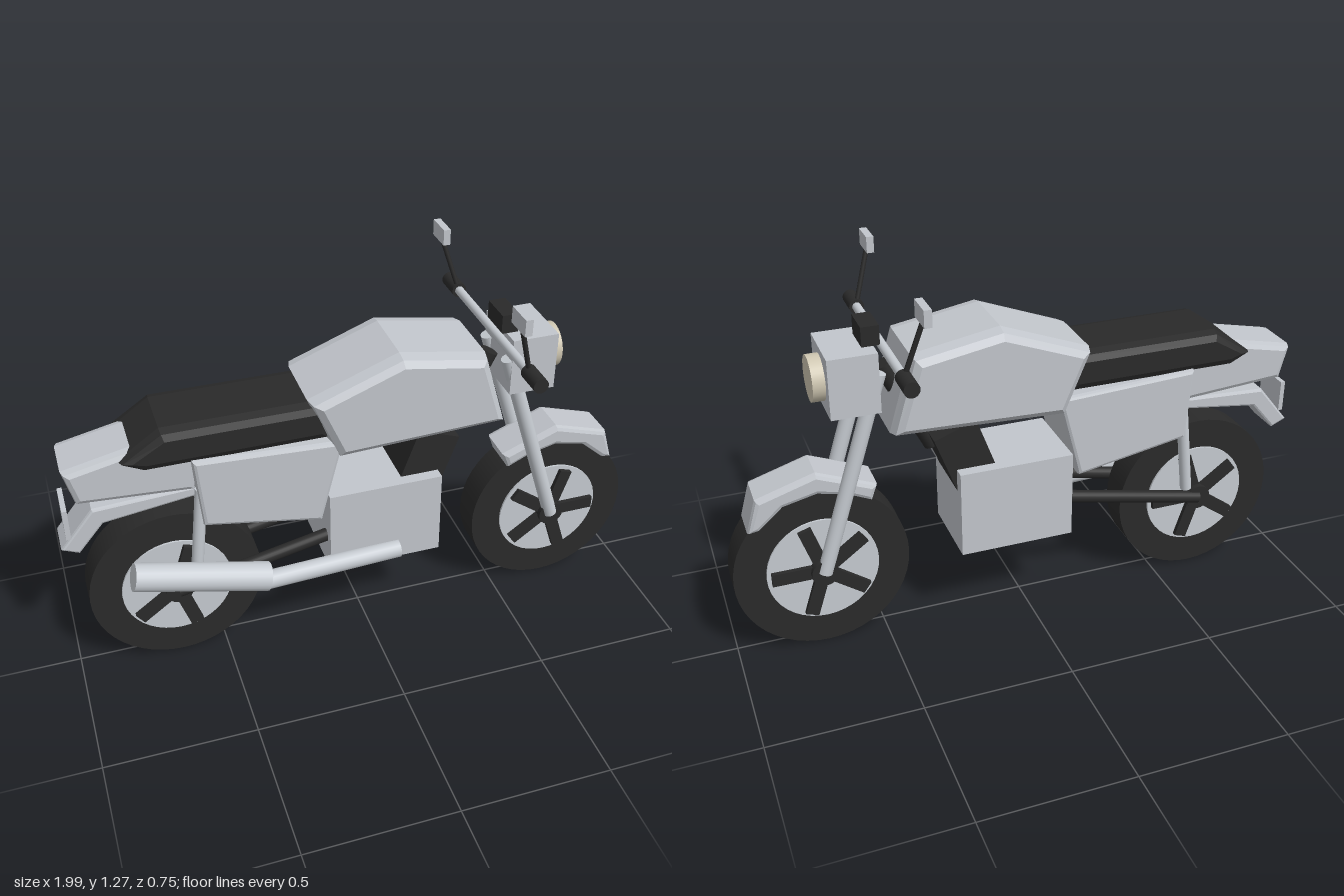
import * as THREE from 'three';

const mat = (name, color) => Object.assign(new THREE.MeshStandardMaterial({ color }), { name });

export function createModel() {
  const paint = mat('greyPaint', 0xc2c6cc);
  const metal = mat('metal', 0xc6cbd1);
  const dark = mat('blackRubber', 0x2a2a2a);
  const glass = mat('lampGlass', 0xcfc7b2);
  const bike = new THREE.Group();
  bike.name = 'motorcycle';

  const add = (name, geo, material, x = 0, y = 0, z = 0, parent = bike) => {
    const m = new THREE.Mesh(geo, material);
    m.name = name;
    m.position.set(x, y, z);
    parent.add(m);
    return m;
  };
  const box = (name, w, h, d, material, x, y, z = 0, parent = bike) =>
    add(name, new THREE.BoxGeometry(w, h, d), material, x, y, z, parent);

  // Side outline extruded across the bike, with a bevel kept inside the outline
  const slab = (name, pts, half, material, bevelZ = 0.02, bevel = 0.02) => {
    const shape = new THREE.Shape(pts.map(p => new THREE.Vector2(...p)));
    const depth = 2 * (half - bevelZ);
    const geo = new THREE.ExtrudeGeometry(shape, {
      depth, bevelEnabled: bevel > 0, bevelThickness: bevelZ,
      bevelSize: bevel, bevelOffset: -bevel, bevelSegments: 2,
    });
    geo.translate(0, 0, -depth / 2);
    return add(name, geo, material);
  };

  // Round bar between two points
  const bar = (name, a, b, r0, r1, material) => {
    const p = new THREE.Vector3(...a), q = new THREE.Vector3(...b);
    const dir = q.clone().sub(p);
    const m = add(name, new THREE.CylinderGeometry(r1, r0, dir.length(), 20), material);
    m.position.copy(p).add(q).multiplyScalar(0.5);
    m.quaternion.setFromUnitVectors(new THREE.Vector3(0, 1, 0), dir.normalize());
    return m;
  };

  // Wheels: tyre, rim disc, five spokes and hub
  const disc = (r, w, seg) => new THREE.CylinderGeometry(r, r, w, seg).rotateX(Math.PI / 2);
  for (const [name, x] of [['rearWheel', -0.65], ['frontWheel', 0.7]]) {
    const wheel = new THREE.Group();
    wheel.name = name;
    wheel.position.set(x, 0.29, 0);
    bike.add(wheel);
    add('tyre', disc(0.29, 0.11, 48), dark, 0, 0, 0, wheel);
    add('rim', disc(0.185, 0.124, 40), metal, 0, 0, 0, wheel);
    add('hub', disc(0.045, 0.19, 20), dark, 0, 0, 0, wheel);
    for (let i = 0; i < 5; i++) {
      const a = i * Math.PI * 0.4;
      box('spoke', 0.17, 0.045, 0.155, dark, Math.cos(a) * 0.085, Math.sin(a) * 0.085, 0, wheel)
        .rotation.z = a;
    }
  }

  // Bodywork
  slab('fuelTank', [[-0.2, 0.96], [-0.11, 0.745], [0.465, 0.77], [0.39, 1.025], [0.1, 1.075]],
    0.16, paint, 0.055, 0.03);
  slab('seat', [[-0.795, 0.85], [-0.72, 0.81], [-0.13, 0.81], [-0.13, 0.943], [-0.66, 0.943]],
    0.13, dark, 0.04, 0.03);
  slab('tail', [[-0.965, 0.835], [-0.935, 0.715], [-0.565, 0.69], [-0.54, 0.86], [-0.72, 0.888]],
    0.1, paint, 0.03, 0.02);
  slab('sidePanel', [[-0.575, 0.825], [-0.555, 0.575], [-0.165, 0.505], [-0.09, 0.8]],
    0.14, paint, 0.015, 0.012);
  slab('rearFender', [[-1, 0.53], [-0.945, 0.505], [-0.86, 0.605], [-0.56, 0.645],
    [-0.56, 0.682], [-0.89, 0.665]], 0.065, paint, 0.01, 0.008);
  slab('frontFender', [[0.505, 0.57], [0.525, 0.515], [0.6, 0.55], [0.7, 0.575], [0.81, 0.55],
    [0.89, 0.48], [0.928, 0.475], [0.895, 0.59], [0.7, 0.65]], 0.075, paint, 0.018, 0.015);
  box('numberPlate', 0.016, 0.11, 0.13, paint, -0.972, 0.625);
  box('tailLight', 0.008, 0.035, 0.11, dark, -0.945, 0.755).rotation.z = 0.245;

  // Engine and frame
  box('engine', 0.39, 0.305, 0.28, paint, 0.055, 0.4375);
  box('engineCylinder', 0.15, 0.27, 0.2, dark, 0.205, 0.607).rotation.z = -0.35;
  bar('frameTube', [0.3, 0.65, 0], [0.455, 0.96, 0], 0.03, 0.03, dark);

  // Exhaust on one side only
  bar('exhaustPipe', [0.1, 0.325, 0.145], [-0.39, 0.325, 0.168], 0.032, 0.032, metal);
  bar('muffler', [-0.365, 0.342, 0.168], [-0.8, 0.455, 0.17], 0.049, 0.046, metal);

  // Lamp and instruments
  box('lampHousing', 0.158, 0.2, 0.22, paint, 0.566, 0.946);
  add('headlamp', new THREE.CylinderGeometry(0.075, 0.075, 0.06, 32).rotateZ(Math.PI / 2), glass, 0.655, 0.946);
  box('gauge', 0.058, 0.065, 0.112, dark, 0.496, 1.08);
  bar('handlebar', [0.458, 1.04, -0.36], [0.458, 1.04, 0.36], 0.015, 0.015, metal);

  // Mirrored pairs
  for (const s of [1, -1]) {
    bar('fork', [0.7, 0.29, 0.084 * s], [0.485, 0.97, 0.084 * s], 0.025, 0.025, metal);
    bar('swingArm', [-0.65, 0.29, 0.088 * s], [-0.12, 0.405, 0.088 * s], 0.022, 0.022, dark);
    bar('shock', [-0.59, 0.35, 0.105 * s], [-0.55, 0.7, 0.105 * s], 0.02, 0.02, metal);
    bar('grip', [0.458, 1.04, 0.28 * s], [0.458, 1.04, 0.374 * s], 0.025, 0.025, dark);
    bar('mirrorStem', [0.455, 1.05, 0.29 * s], [0.403, 1.225, 0.322 * s], 0.008, 0.008, dark);
    box('mirror', 0.024, 0.054, 0.095, paint, 0.402, 1.246, 0.322 * s);
  }
  return bike;
}
